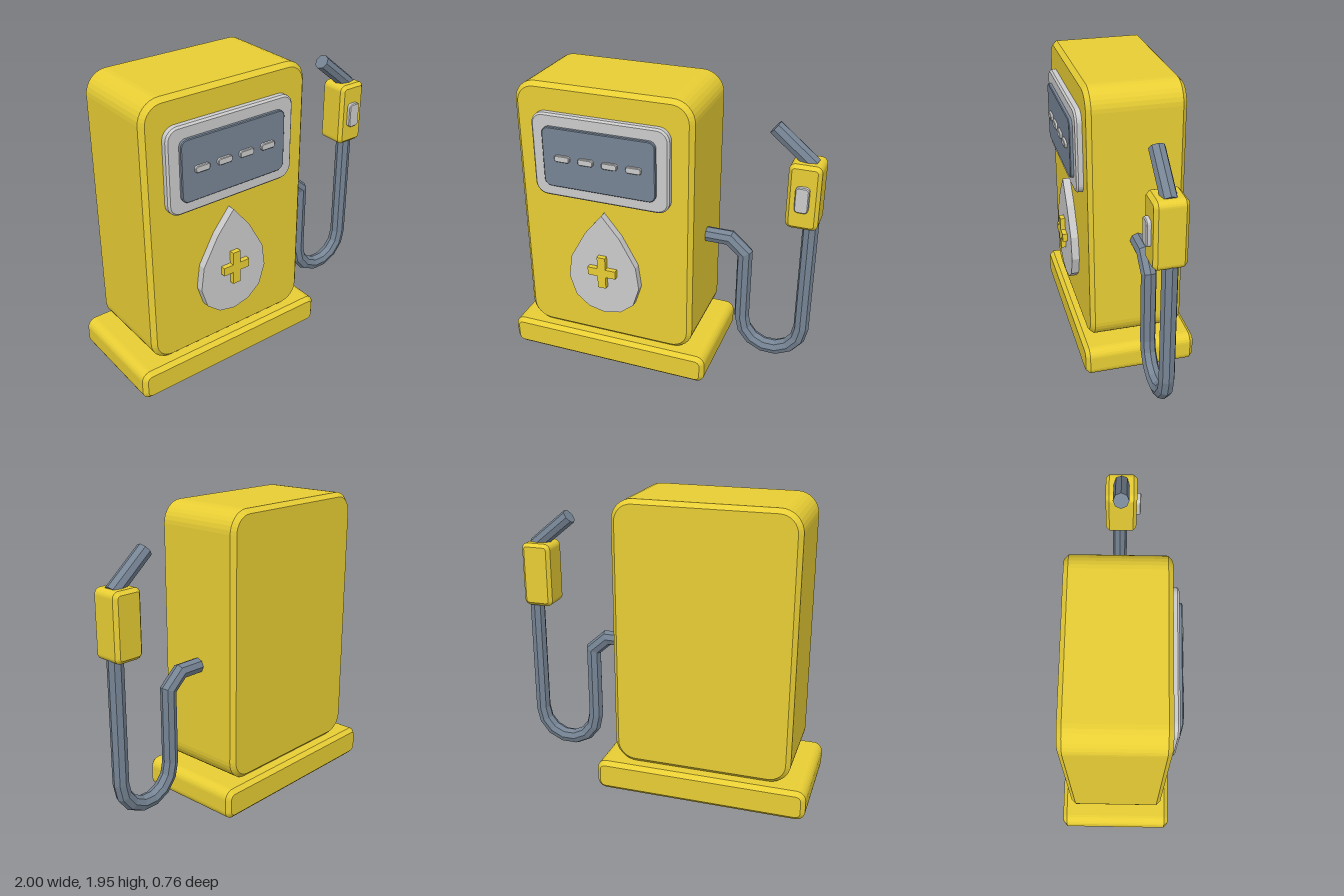
import * as THREE from 'three';

const mat = (color) => new THREE.MeshStandardMaterial({ color, flatShading: true });
const yellow = mat(0xe8ce34);
const steel = mat(0x768494);
const grey = mat(0xcccccc);

// Rounded slab with chamfered front and back edges, given by its bounds
function slab(name, material, [x0, x1], [y0, y1], [z0, z1], radius, bevel, segments = 4) {
  const w = (x1 - x0) / 2 - bevel, h = (y1 - y0) / 2 - bevel, r = radius - bevel;
  const s = new THREE.Shape();
  s.absarc(w - r, h - r, r, 0, Math.PI / 2);
  s.absarc(r - w, h - r, r, Math.PI / 2, Math.PI);
  s.absarc(r - w, r - h, r, Math.PI, Math.PI * 1.5);
  s.absarc(w - r, r - h, r, Math.PI * 1.5, Math.PI * 2);
  s.closePath();
  const geometry = new THREE.ExtrudeGeometry(s, {
    depth: z1 - z0 - 2 * bevel, curveSegments: segments,
    bevelEnabled: true, bevelSize: bevel, bevelThickness: bevel, bevelSegments: 1,
  });
  geometry.translate((x0 + x1) / 2, (y0 + y1) / 2, z0 + bevel);
  const mesh = new THREE.Mesh(geometry, material);
  mesh.name = name;
  return mesh;
}

// Flat emblem cut from an outline of x, y points
function emblem(name, material, points, x, y, z0, z1) {
  const shape = new THREE.Shape(points.map(([px, py]) => new THREE.Vector2(px, py)));
  const geometry = new THREE.ExtrudeGeometry(shape, { depth: z1 - z0, bevelEnabled: false });
  const mesh = new THREE.Mesh(geometry, material);
  mesh.position.set(x, y, z0);
  mesh.name = name;
  return mesh;
}

// Pipe along a path in the xy plane, with mitred joints and capped ends
function pipe(name, material, path, radius, sides, z) {
  const pts = path.map(([x, y]) => new THREE.Vector2(x, y));
  const pos = [], index = [], n = pts.length;
  pts.forEach((p, i) => {
    const a = pts[Math.max(i, 1)].clone().sub(pts[Math.max(i, 1) - 1]).normalize();
    const j = Math.min(i, n - 2);
    const b = pts[j + 1].clone().sub(pts[j]).normalize();
    const t = a.clone().add(b).normalize();
    const miter = radius / t.dot(a);
    for (let k = 0; k < sides; k++) {
      const ang = (k / sides) * Math.PI * 2;
      const u = Math.cos(ang) * miter;
      pos.push(p.x - t.y * u, p.y + t.x * u, z + Math.sin(ang) * radius);
      if (i < n - 1) {
        const c = i * sides + k, d = i * sides + ((k + 1) % sides);
        index.push(c, d, c + sides, d, d + sides, c + sides);
      }
    }
  });
  const last = (n - 1) * sides;
  for (let k = 1; k < sides - 1; k++) {
    index.push(0, k + 1, k, last, last + k, last + k + 1);
  }
  const geometry = new THREE.BufferGeometry();
  geometry.setAttribute('position', new THREE.Float32BufferAttribute(pos, 3));
  geometry.setIndex(index);
  geometry.computeVertexNormals();
  const mesh = new THREE.Mesh(geometry, material);
  mesh.name = name;
  return mesh;
}

export function createModel() {
  const model = new THREE.Group();
  model.name = 'fuelPump';

  // Plinth and cabinet
  model.add(slab('base', yellow, [-1, 0.39], [0, 0.2], [-0.38, 0.36], 0.06, 0.027, 3));
  model.add(slab('cabinet', yellow, [-0.885, 0.28], [0.2, 1.945], [-0.315, 0.3], 0.14, 0.028));

  // Display with four dashes
  const display = new THREE.Group();
  display.name = 'display';
  display.add(slab('displayFrame', grey, [-0.755, 0.145], [1.22, 1.773], [0.28, 0.343], 0.08, 0.012));
  display.add(slab('screen', steel, [-0.675, 0.065], [1.3, 1.695], [0.32, 0.365], 0.045, 0.005));
  for (let i = 0; i < 4; i++) {
    const x = -0.54 + i * 0.157;
    display.add(slab('dash', grey, [x - 0.05, x + 0.05], [1.479, 1.521], [0.35, 0.382], 0.015, 0.004, 2));
  }
  model.add(display);

  // Drop emblem, mirrored from its right half, with a raised cross
  const half = [[0.118, 0.992], [0.225, 0.8], [0.246, 0.645], [0.203, 0.51], [0.112, 0.435]];
  const drop = [[0, 0.41], ...half.slice().reverse(), [0, 1.137], ...half.map(([x, y]) => [-x, y])];
  model.add(emblem('drop', grey, drop, -0.305, 0, 0.29, 0.35));
  const a = 0.028, lx = 0.096, ly = 0.113;
  const cross = [[a, -ly], [a, -a], [lx, -a], [lx, a], [a, a], [a, ly],
    [-a, ly], [-a, a], [-lx, a], [-lx, -a], [-a, -a], [-a, -ly]];
  model.add(emblem('cross', yellow, cross, -0.305, 0.735, 0.34, 0.382));

  // Hose: elbow out of the cabinet, U bend, then up to the handle
  const path = [[0.22, 0.937], [0.437, 0.937], [0.54, 0.845]];
  for (let i = 0; i <= 7; i++) {
    const ang = Math.PI * (1 + i / 7);
    path.push([0.742 + 0.203 * Math.cos(ang), 0.358 + 0.205 * Math.sin(ang)]);
  }
  path.push([0.945, 1.2]);
  model.add(pipe('hose', steel, path, 0.05, 8, -0.01));

  // Handle, trigger button and spout
  const nozzle = new THREE.Group();
  nozzle.name = 'nozzle';
  nozzle.add(slab('handle', yellow, [0.8, 1], [1.14, 1.565], [-0.1, 0.1], 0.04, 0.022, 3));
  nozzle.add(slab('button', grey, [0.855, 0.94], [1.268, 1.435], [0.08, 0.127], 0.025, 0.006, 3));
  nozzle.add(pipe('spout', steel, [[0.935, 1.54], [0.687, 1.745]], 0.05, 8, 0));
  model.add(nozzle);

  return model;
}
